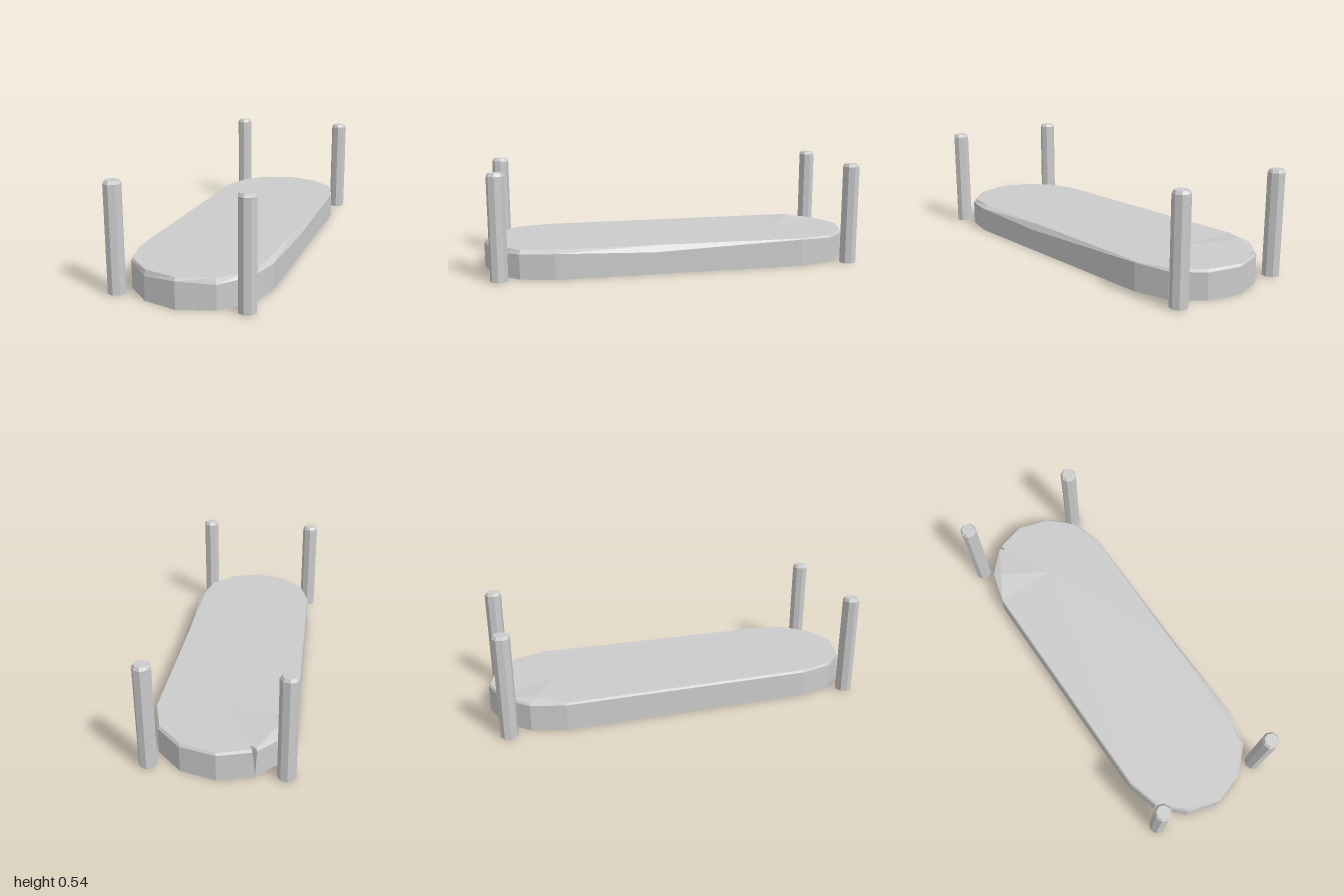
import * as THREE from 'three';

const material = new THREE.MeshStandardMaterial({
  color: 0xcccccc, flatShading: true, side: THREE.DoubleSide,
});

// Chipped kerb outline, counter-clockwise from above:
// [x, z, height of the bevel's lower edge, inset of its upper edge, pinch of the foot towards the crack]
const RIM = [
  [0, 1, 0.133, 0.01],
  [0.175, 0.95, 0.12, 0.012],
  [0.3, 0.825, 0.128, 0.014],
  [0.346, 0.65, 0.132, 0.03],
  [0.346, 0.15, 0.115, 0.02],
  [0.346, -0.65, 0.143, 0.005],
  [0.3, -0.825, 0.135, 0.01],
  [0.175, -0.95, 0.135, 0.01],
  [0, -1, 0.137, 0.008],
  [-0.16, -0.955, 0.137, 0.008, true],
  [-0.148, -0.92, 0.137, 0.002, true],
  [-0.18, -0.944, 0.137, 0.008, true],
  [-0.295, -0.825, 0.137, 0.008],
  [-0.342, -0.65, 0.137, 0.006],
  [-0.342, 0.65, 0.136, 0.007],
  [-0.295, 0.825, 0.135, 0.009],
  [-0.17, 0.95, 0.12, 0.01],
];
const TOP = 0.148;
const CRACK_FOOT = [-0.172, 0, -0.951];

function islandGeometry() {
  const pos = [];
  const tri = (a, b, c) => pos.push(...a, ...b, ...c);
  const quad = (a, b, c, d) => { tri(a, b, c); tri(a, c, d); };

  // Three loops: foot, lower edge of the bevel, upper edge of the bevel
  const foot = RIM.map(([x, z, , , crack]) => (crack ? CRACK_FOOT : [x, 0, z]));
  const edge = RIM.map(([x, z, y]) => [x, y, z]);
  const top = RIM.map(([x, z, , inset]) => {
    const spine = THREE.MathUtils.clamp(z, -0.65, 0.65);
    const k = 1 - inset / Math.hypot(x, z - spine);
    return [x * k, TOP, spine + (z - spine) * k];
  });

  // The deck fans out from one hub, with a small bump near the back corner
  const hub = [0, TOP, -0.64];
  const bump = [-0.258, 0.163, -0.78];
  const n = RIM.length;
  for (let i = 0; i < n; i++) {
    const j = (i + 1) % n;
    quad(foot[i], foot[j], edge[j], edge[i]);
    quad(edge[i], edge[j], top[j], top[i]);
    if (i === 11 || i === 12) tri(bump, top[i], top[j]);
    else tri(hub, top[i], top[j]);
  }
  tri(hub, top[11], bump);
  tri(hub, bump, top[13]);

  const g = new THREE.BufferGeometry();
  g.setAttribute('position', new THREE.Float32BufferAttribute(pos, 3));
  g.computeVertexNormals();
  return g;
}

export function createModel() {
  const model = new THREE.Group();

  // Raised kerb island, open underneath
  const island = new THREE.Mesh(islandGeometry(), material);
  island.name = 'island';
  model.add(island);

  // Octagonal corner posts with chamfered tops, open underneath
  const profile = [[0.044, 0.003], [0.044, 0.524], [0.034, 0.539], [0, 0.539]]
    .map(([r, y]) => new THREE.Vector2(r, y));
  const postGeometry = new THREE.LatheGeometry(profile, 8);
  const posts = [
    ['frontLeftPost', 0.31, 0.925, -0.1],
    ['frontRightPost', -0.333, 0.905, 0.02],
    ['backLeftPost', 0.331, -0.917, 0.05],
    ['backRightPost', -0.315, -0.935, 0.12],
  ];
  for (const [name, x, z, turn] of posts) {
    const post = new THREE.Mesh(postGeometry, material);
    post.name = name;
    post.position.set(x, 0, z);
    post.rotation.y = turn;
    model.add(post);
  }
  return model;
}
